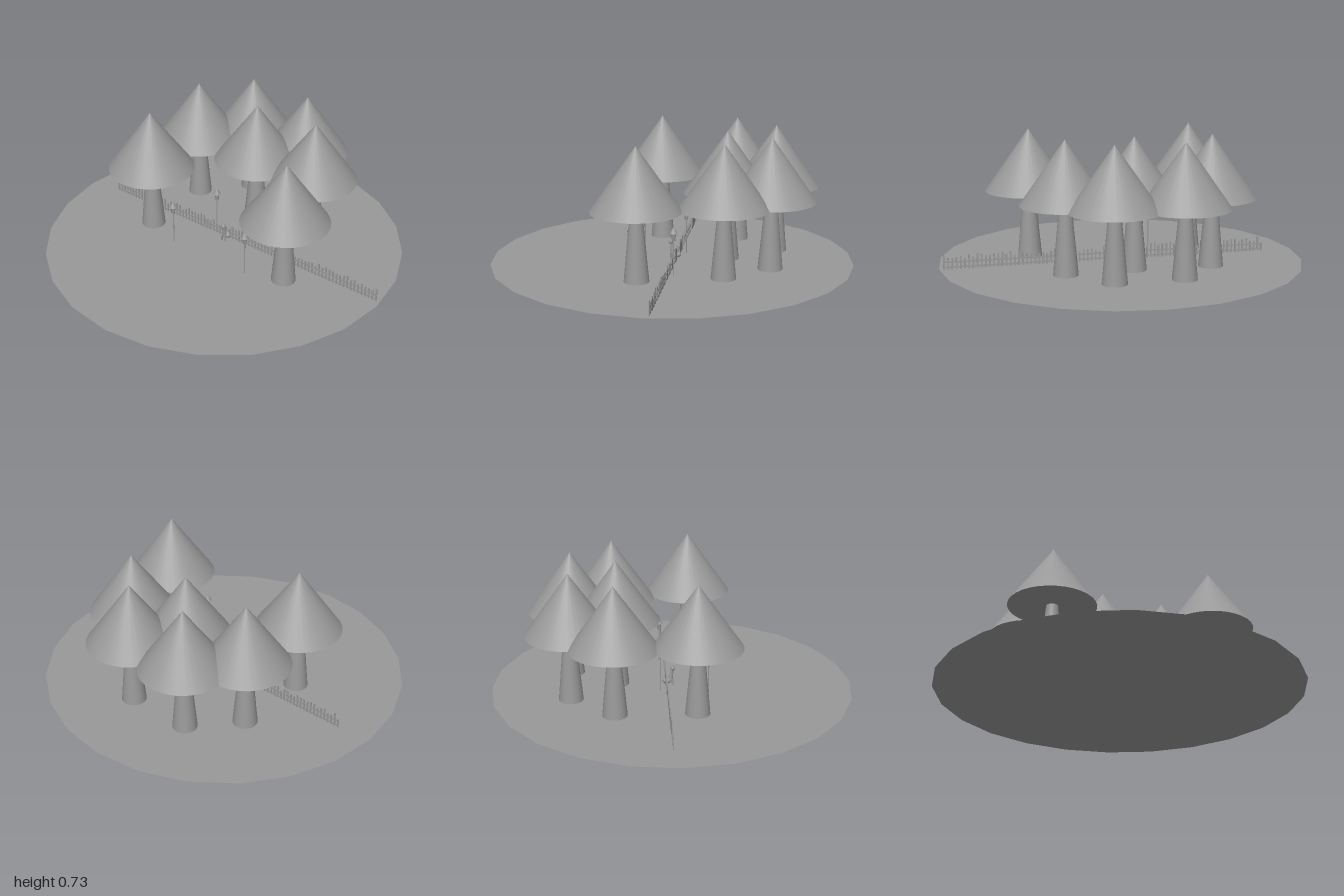
import * as THREE from 'three';

export function createModel() {
  const root = new THREE.Group();
  const grey = new THREE.MeshStandardMaterial({ color: 0x999999 });
  grey.name = 'plain grey';
  grey.side = THREE.DoubleSide;

  function add(parent, name, geometry, x, y, z) {
    const mesh = new THREE.Mesh(geometry, grey);
    mesh.name = name;
    mesh.position.set(x, y, z);
    parent.add(mesh);
    return mesh;
  }

  function group(name, x = 0, z = 0) {
    const g = new THREE.Group();
    g.name = name;
    g.position.set(x, 0, z);
    root.add(g);
    return g;
  }

  // Flat 24-sided clearing
  const disc = new THREE.CircleGeometry(1, 24).rotateX(-Math.PI / 2);
  add(root, 'ground', disc, 0, 0, 0);

  // Trees: tapered trunk under a closed cone
  const trunk = new THREE.CylinderGeometry(0.031, 0.067, 0.39, 24);
  const crown = new THREE.ConeGeometry(0.24, 0.342, 32);
  const trees = [
    [-0.42, 0.115], [0.487, 0.115],
    [-0.42, -0.32], [0.372, -0.325], [0, -0.305],
    [-0.205, -0.555], [0.165, -0.555],
  ];
  for (const [x, z] of trees) {
    const tree = group('tree', x, z);
    add(tree, 'trunk', trunk, 0, 0.21, 0);
    add(tree, 'crown', crown, 0, 0.559, 0);
  }

  // Lamp posts: thin pole, lantern and pointed cap
  const pole = new THREE.CylinderGeometry(0.003, 0.003, 0.2, 8);
  const lantern = new THREE.CylinderGeometry(0.013, 0.009, 0.04, 8);
  const cap = new THREE.ConeGeometry(0.021, 0.038, 12);
  for (const [x, z] of [[-0.21, 0.188], [-0.1, -0.067], [0.282, 0.188], [0.337, -0.058]]) {
    const lamp = group('lampPost', x, z);
    add(lamp, 'pole', pole, 0, 0.108, 0);
    add(lamp, 'lantern', lantern, 0, 0.219, 0);
    add(lamp, 'cap', cap, 0, 0.257, 0);
  }

  // Fence: uneven pickets on two rails
  let seed = 7;
  const random = () => (seed = (seed * 16807) % 2147483647) / 2147483647;
  const fence = group('fence', 0, -0.033);
  const rail = new THREE.BoxGeometry(1.8, 0.008, 0.004);
  for (const y of [0.018, 0.046]) add(fence, 'rail', rail, 0.08, y, 0);
  const picket = new THREE.BoxGeometry(0.009, 1, 0.005);
  const count = 81;
  for (let i = 0; i < count; i++) {
    const height = 0.05 + 0.035 * random();
    const p = add(fence, 'picket', picket, -0.815 + (1.79 * i) / (count - 1), 0.006 + height / 2, 0);
    p.scale.y = height;
  }

  // Small sitting animal in the middle of the clearing
  const animal = group('animal');
  const body = add(animal, 'body', new THREE.SphereGeometry(0.024, 16, 12), 0, 0.025, -0.028);
  body.scale.set(1, 0.75, 1);
  const neck = add(animal, 'neck', new THREE.CylinderGeometry(0.007, 0.012, 0.07, 10), 0, 0.06, -0.002);
  neck.rotation.x = 0.12;
  add(animal, 'head', new THREE.SphereGeometry(0.013, 12, 8), 0, 0.097, 0.006);
  for (const s of [-1, 1]) {
    add(animal, 'leg', new THREE.CylinderGeometry(0.004, 0.005, 0.035, 8), s * 0.011, 0.018, 0.004);
    add(animal, 'ear', new THREE.ConeGeometry(0.005, 0.014, 8), s * 0.008, 0.109, 0.006);
  }

  return root;
}
